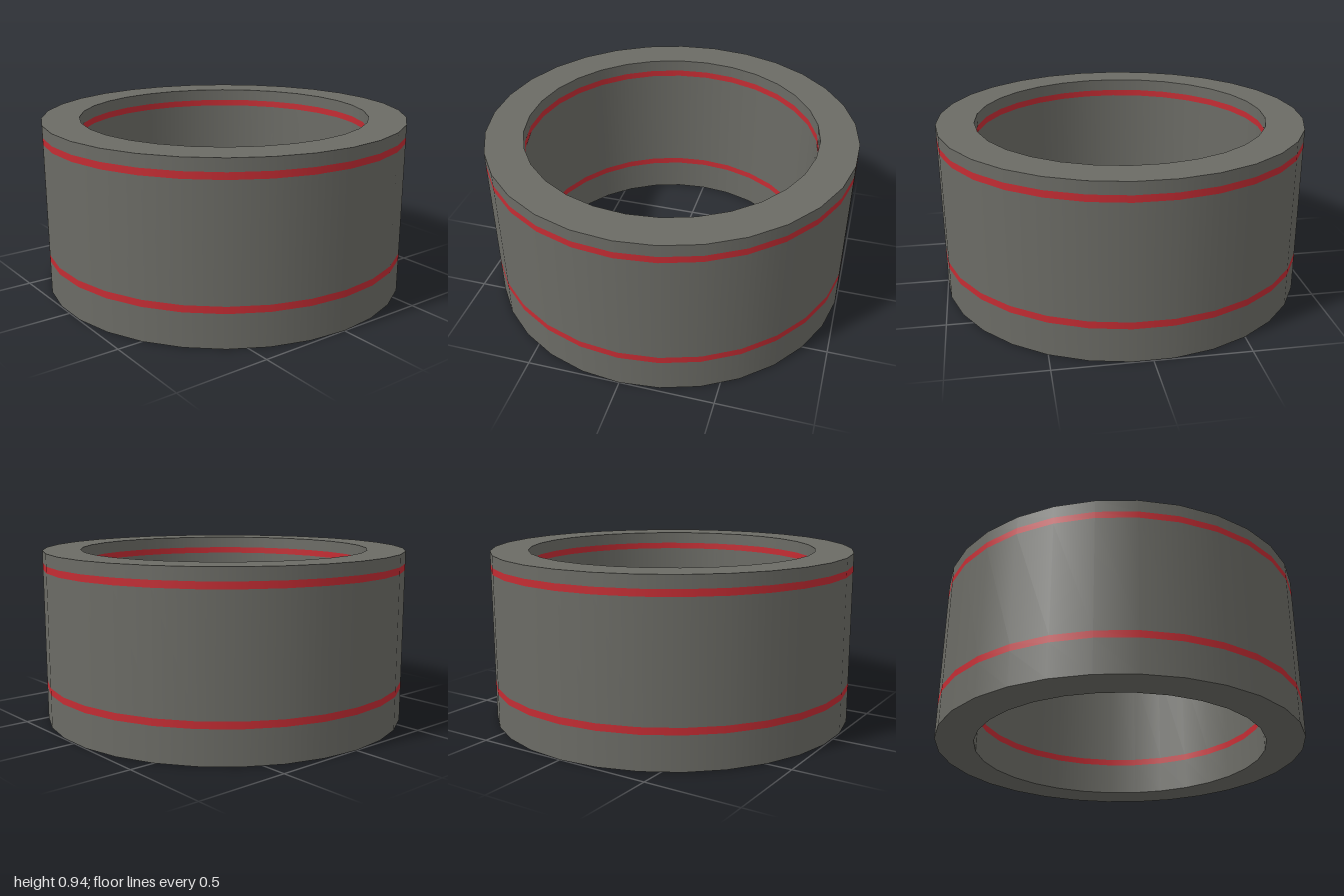
import * as THREE from 'three';

const SEGMENTS = 30;
const OUTER = 1, INNER = 0.795, HEIGHT = 0.935;
const BANDS = [[0.182, 0.219], [0.833, 0.869]];

export function createModel() {
  const group = new THREE.Group();
  group.name = 'ring';

  const grey = new THREE.MeshStandardMaterial({ color: 0x6b6b65 });
  grey.name = 'warm grey';
  const red = new THREE.MeshStandardMaterial({ color: 0xc42c33 });
  red.name = 'red';

  // One strip revolved about y, from profile point a to b
  const strip = (name, material, a, b) => {
    const points = [new THREE.Vector2(...a), new THREE.Vector2(...b)];
    const mesh = new THREE.Mesh(new THREE.LatheGeometry(points, SEGMENTS), material);
    mesh.name = name;
    group.add(mesh);
  };

  // Heights where the wall changes colour: grey, red, grey, red, grey
  const levels = [0, ...BANDS.flat(), HEIGHT];
  for (let i = 0; i < levels.length - 1; i++) {
    const isBand = i % 2 === 1;
    const part = isBand ? 'Stripe' : 'Wall';
    const material = isBand ? red : grey;
    const [low, high] = [levels[i], levels[i + 1]];
    strip('outer' + part, material, [OUTER, low], [OUTER, high]);
    strip('inner' + part, material, [INNER, high], [INNER, low]);
  }

  // Flat end faces
  strip('topRim', grey, [OUTER, HEIGHT], [INNER, HEIGHT]);
  strip('bottomRim', grey, [INNER, 0], [OUTER, 0]);

  return group;
}
